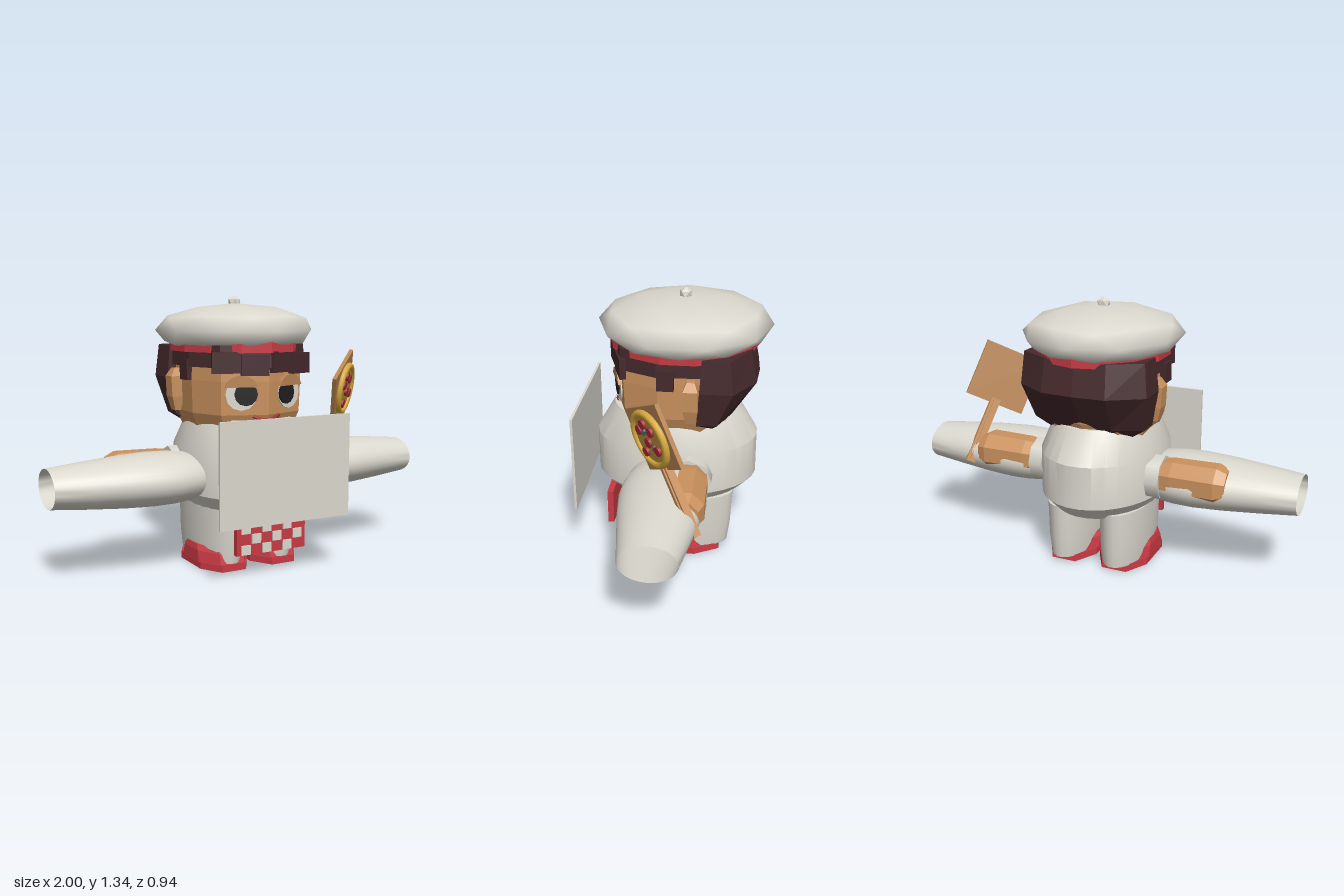
import * as THREE from 'three';
import { toCreasedNormals } from 'three/addons/utils/BufferGeometryUtils.js';

const mat = (name, color, side = THREE.FrontSide) => {
  const m = new THREE.MeshStandardMaterial({ color, side });
  m.name = name;
  return m;
};

// Skin stacked rings of [x, y, z] points; crease 0 gives flat facets
function loft(rings, crease = 0, caps = true) {
  const p = [], n = rings[0].length;
  for (let i = 0; i < rings.length - 1; i++) {
    for (let j = 0; j < n; j++) {
      const k = (j + 1) % n;
      const a = rings[i][j], b = rings[i][k], c = rings[i + 1][k], d = rings[i + 1][j];
      p.push(...a, ...d, ...b, ...b, ...d, ...c);
    }
  }
  const centre = r => [0, 1, 2].map(q => r.reduce((s, v) => s + v[q], 0) / n);
  if (caps) {
    const lo = rings[0], hi = rings[rings.length - 1], cl = centre(lo), ch = centre(hi);
    for (let j = 0; j < n; j++) {
      const k = (j + 1) % n;
      p.push(...cl, ...lo[j], ...lo[k], ...ch, ...hi[k], ...hi[j]);
    }
  }
  const g = new THREE.BufferGeometry();
  g.setAttribute('position', new THREE.Float32BufferAttribute(p, 3));
  g.computeVertexNormals();
  return crease ? toCreasedNormals(g, crease) : g;
}

// Elliptical ring at height y
const oval = (y, rx, rz, n = 32, cx = 0, cz = 0) => Array.from({ length: n }, (_, i) => {
  const t = (i + 0.5) / n * Math.PI * 2;
  return [cx + Math.cos(t) * rx, y, cz + Math.sin(t) * rz];
});

export function createModel() {
  const white = mat('linen white', 0xdbd8ce, THREE.DoubleSide);
  const red = mat('red', 0xc93a44);
  const darkRed = mat('tomato red', 0xa92b38);
  const hair = mat('dark brown hair', 0x45292c);
  const skin = mat('skin', 0xcb925e);
  const wood = mat('wood', 0xb98452);
  const black = mat('black', 0x1f1f1f);
  const crust = mat('golden crust', 0xd9ab3c);
  const cheese = mat('cheese', 0xb3923a);
  const teal = mat('teal herb', 0x4f7a78);

  const model = new THREE.Group();
  const add = (name, geo, material, x = 0, y = 0, z = 0, parent = model) => {
    const m = new THREE.Mesh(geo, material);
    m.name = name;
    m.position.set(x, y, z);
    parent.add(m);
    return m;
  };
  const box = (w, h, d) => new THREE.BoxGeometry(w, h, d);

  // Barrel torso with chamfered shoulders
  add('torso', loft([[0.295, 0.25, 0.32], [0.375, 0.31, 0.405], [0.59, 0.31, 0.405], [0.745, 0.25, 0.315]]
    .map(([y, rx, rz]) => oval(y, rx, rz, 32, 0, -0.005)), 0.5), white);

  // Head
  const headShape = [[0.29, 0.06], [0.22, 0.23], [0, 0.305], [-0.22, 0.23], [-0.29, 0.06],
    [-0.28, -0.16], [-0.18, -0.28], [0, -0.32], [0.18, -0.28], [0.28, -0.16]];
  const headRing = (y, s) => headShape.map(([x, z]) => [x * s, y, z * s]);
  add('head', loft([headRing(0.68, 0.86), headRing(0.77, 0.98), headRing(0.93, 1), headRing(1.1, 0.98)]), skin);
  const smile = new THREE.QuadraticBezierCurve3(new THREE.Vector3(-0.07, 0.765, 0.275),
    new THREE.Vector3(0, 0.725, 0.315), new THREE.Vector3(0.07, 0.765, 0.275));
  add('mouth', new THREE.TubeGeometry(smile, 10, 0.009, 6), darkRed);

  // Back hair and fringe
  const backRing = (y, w, front, back) => [[w, y, front], [-w, y, front], [-w, y, front * 0.4 + back * 0.6],
    [-w * 0.5, y, back], [0, y, back - 0.01], [w * 0.5, y, back], [w, y, front * 0.4 + back * 0.6]];
  add('backHair', loft([backRing(0.69, 0.2, -0.12, -0.24), backRing(0.75, 0.29, -0.125, -0.285),
    backRing(0.93, 0.325, -0.14, -0.4), backRing(1.09, 0.31, -0.15, -0.37)]), hair);
  add('fringe', loft([headRing(0.995, 1.06), headRing(1.1, 1.04)]), hair);
  [-0.2, -0.07, 0.07, 0.2].forEach((x, i) => {
    const lock = add('fringeLock', box(0.135, 0.1, 0.03), hair, x, 1.02 - (i % 2) * 0.012, 0.313 - Math.abs(x) * 0.34);
    lock.rotation.y = Math.sign(x) * 0.33;
  });

  // Headband and faceted cap
  add('headband', loft([oval(1.065, 0.325, 0.365, 14, 0, -0.04), oval(1.125, 0.325, 0.365, 14, 0, -0.04)]), red);
  add('cap', new THREE.IcosahedronGeometry(1, 1).rotateZ(Math.atan(0.618)).scale(0.395, 0.132, 0.425),
    white, 0, 1.165, -0.045);
  add('capButton', new THREE.IcosahedronGeometry(0.034, 0).rotateZ(Math.atan(0.618)), white, 0, 1.302, -0.045);

  // Apron with raised checks
  add('apron', box(0.38, 0.18, 0.03), red, -0.002, 0.2, 0.32);
  for (let row = 0; row < 3; row++) {
    for (let col = 0; col < 3; col++) {
      add('apronCheck', box(0.048, 0.046, 0.009), white,
        -0.145 + col * 0.114 + (row % 2) * 0.057, 0.238 - row * 0.051, 0.339);
    }
  }
  // Front panel
  add('frontPanel', box(0.7, 0.495, 0.012), white, 0, 0.528, 0.463);

  for (const s of [-1, 1]) {
    // Eye: layered thin plates on the angled cheek
    const eye = new THREE.Group();
    eye.name = 'eye';
    eye.position.set(s * 0.13, 0.87, 0.266);
    eye.rotation.y = s * 0.33;
    model.add(eye);
    const disc = (rx, ry, n) => new THREE.CylinderGeometry(1, 1, 0.006, n).rotateX(Math.PI / 2).scale(rx, ry, 1);
    add('eyeWhite', disc(0.077, 0.077, 12), white, 0, 0, 0, eye);
    add('pupil', disc(0.056, 0.055, 12), black, -s * 0.022, 0, 0.006, eye);
    const lid = new THREE.Shape();
    lid.absellipse(0, 0, 0.085, 0.085, 0.35, Math.PI - 0.35);
    add('eyelid', new THREE.ExtrudeGeometry(lid, { depth: 0.02, bevelEnabled: false, curveSegments: 6 }),
      wood, 0, 0.005, -0.003, eye);

    // Ear
    add('ear', loft([[0.77, 0.015, 0.025], [0.84, 0.035, 0.037], [0.94, 0.04, 0.037], [0.98, 0.015, 0.02]]
      .map(([y, rx, rz]) => oval(y, rx * 1.4, rz * 1.35, 4, s * 0.3, -0.1))), skin);
    // Sideburn
    add('sideburn', box(0.03, 0.1, 0.08), hair, s * 0.3, 0.98, 0.02);

    // Open sleeve
    const sleeve = loft([[0.23, 0.095, 0.15], [0.3, 0.117, 0.185], [0.4, 0.127, 0.204], [0.5, 0.129, 0.208],
      [0.65, 0.123, 0.19], [0.82, 0.11, 0.162], [1, 0.093, 0.132]]
      .map(([x, ry, rz]) => oval(x, ry, rz)), 0.9, false).rotateZ(-s * Math.PI / 2);
    add('sleeve', sleeve, white, 0, 0.457, 0.01);
    // Arm and hand poking through the sleeve
    const arm = loft([oval(0.3, 0.085, 0.085, 8), oval(0.4, 0.1, 0.1, 8), oval(0.62, 0.104, 0.104, 8),
      oval(0.67, 0.08, 0.08, 8)]).rotateZ(-s * Math.PI / 2);
    add('arm', arm, skin, 0, 0.485, -0.1);
    add('hand', new THREE.CylinderGeometry(0.088, 0.08, 0.2, 8).rotateZ(Math.PI / 2), skin, s * 0.6, 0.47, -0.025);
    add('shoulderCuff', new THREE.CylinderGeometry(0.112, 0.112, 0.07, 8, 1).rotateZ(Math.PI / 2),
      white, s * 0.315, 0.48, -0.095);

    // Leg
    add('leg', loft([oval(0.03, 0.11, 0.245, 24, s * 0.142, -0.035), oval(0.14, 0.12, 0.26, 24, s * 0.142, -0.035),
      oval(0.32, 0.123, 0.268, 24, s * 0.142, -0.035)], 0.6), white);
    // Shoe with chamfered corners
    const shoeRing = (y, front, back, w) => [[w, y, back + 0.12], [w, y, front - 0.11], [w * 0.5, y, front],
      [-w * 0.5, y, front], [-w, y, front - 0.11], [-w, y, back + 0.12], [-w * 0.5, y, back], [w * 0.5, y, back]];
    add('shoeSole', loft([shoeRing(0, 0.215, -0.24, 0.13), shoeRing(0.035, 0.215, -0.235, 0.13)]), red, s * 0.14);
    add('shoeUpper', loft([shoeRing(0.03, 0.2, -0.21, 0.133), shoeRing(0.085, 0.185, -0.195, 0.13),
      shoeRing(0.112, 0.165, -0.18, 0.122)]), red, s * 0.14);
  }

  // Wooden peel, turned outwards and held in the left hand
  const peel = new THREE.Group();
  peel.name = 'peel';
  const u = new THREE.Vector3(0.722, 0.44, -0.534).normalize();
  const v = new THREE.Vector3(-0.185, 0.909, 0.37);
  v.addScaledVector(u, -v.dot(u)).normalize();
  const n = new THREE.Vector3().crossVectors(u, v);
  peel.quaternion.setFromRotationMatrix(new THREE.Matrix4().makeBasis(u, v, n));
  peel.position.set(0.612, 0.848, 0.03);
  model.add(peel);
  add('board', box(0.315, 0.3, 0.02), wood, 0, 0, 0, peel);
  add('handle', box(0.05, 0.36, 0.035), skin, 0, -0.3, 0, peel);
  add('handleRidge', box(0.022, 0.33, 0.05), skin, 0, -0.3, 0, peel);
  // Round topped pie
  const puck = (r, h, sides) => new THREE.CylinderGeometry(r, r, h, sides).rotateX(Math.PI / 2);
  add('pieBase', puck(0.125, 0.014, 24), cheese, 0, 0, 0.016, peel);
  add('pieCrust', new THREE.TorusGeometry(0.125, 0.017, 8, 24), crust, 0, 0, 0.02, peel);
  for (const [x, y] of [[0.003, 0.075], [0.046, 0.035], [-0.05, 0.052], [-0.008, -0.012], [0.049, -0.054], [-0.066, -0.052]]) {
    add('tomatoSlice', puck(0.023, 0.014, 10), darkRed, x, y, 0.029, peel);
  }
  for (const [x, y] of [[-0.013, 0.037], [0.023, -0.042]]) {
    add('herb', box(0.03, 0.014, 0.012), teal, x, y, 0.027, peel).rotation.z = 0.6;
  }
  return model;
}
